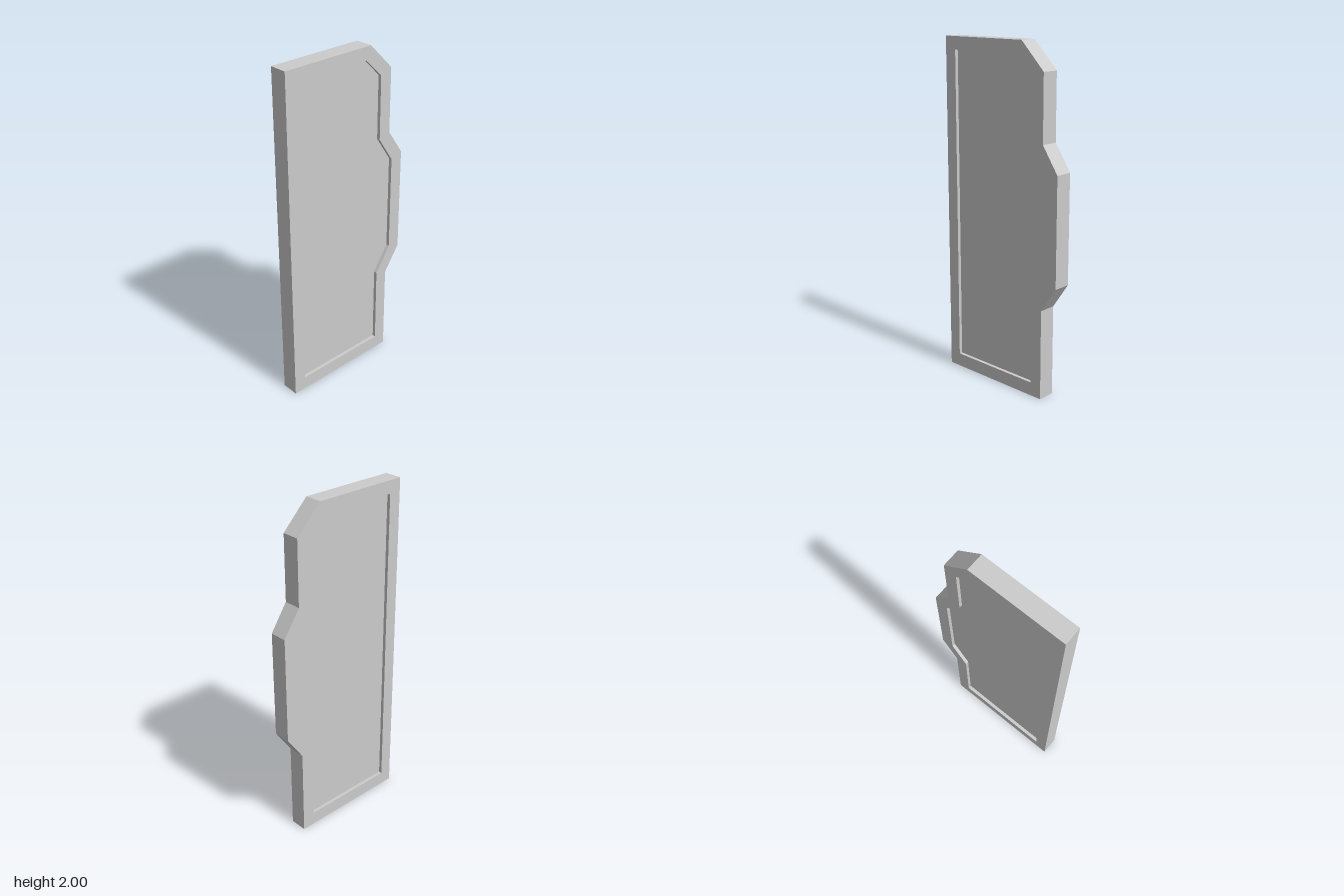
import * as THREE from 'three';

const THICKNESS = 0.104;
const RECESS = 0.02;

// Profiles as [z, y], running up the stepped rear edge
const OUTER = [
  [0.417, 0], [-0.315, 0], [-0.315, 0.535], [-0.417, 0.685], [-0.417, 1.315],
  [-0.315, 1.465], [-0.315, 1.845], [-0.16, 2], [0.417, 2],
];
const INNER = [
  [0.343, 0.08], [-0.24, 0.08], [-0.24, 0.56], [-0.34, 0.71], [-0.34, 1.29],
  [-0.24, 1.44], [-0.24, 1.815], [-0.128, 1.925], [0.343, 1.925],
];

const toPoints = (profile) => profile.map(([z, y]) => new THREE.Vector2(-z, y));

// Extrude a profile sideways, centred on x = 0
function slab(name, shape, depth, material) {
  const geometry = new THREE.ExtrudeGeometry(shape, { depth, bevelEnabled: false });
  geometry.translate(0, 0, -depth / 2);
  geometry.rotateY(Math.PI / 2);
  const mesh = new THREE.Mesh(geometry, material);
  mesh.name = name;
  return mesh;
}

export function createModel() {
  const group = new THREE.Group();
  group.name = 'doorPanel';
  const material = new THREE.MeshStandardMaterial({ color: 0xcccccc, flatShading: true });

  // Raised border around the opening
  const border = new THREE.Shape(toPoints(OUTER));
  border.holes.push(new THREE.Path(toPoints(INNER)));
  group.add(slab('frame', border, THICKNESS, material));

  // Infill sunk on both sides
  const infill = new THREE.Shape(toPoints(INNER));
  group.add(slab('recessedPanel', infill, THICKNESS - 2 * RECESS, material));

  return group;
}
